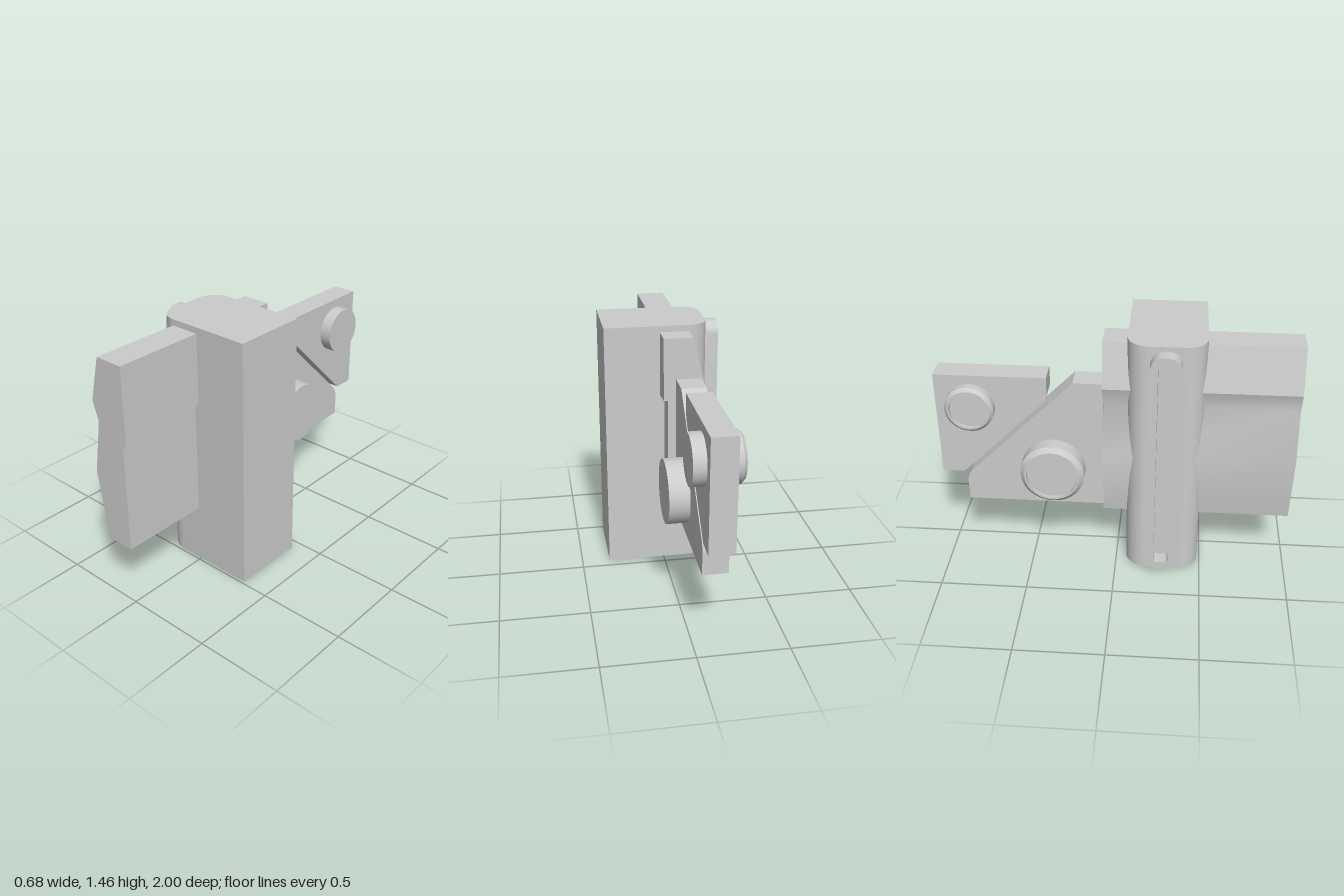
import * as THREE from 'three';
import { toCreasedNormals } from 'three/addons/utils/BufferGeometryUtils.js';

const grey = new THREE.MeshStandardMaterial({ color: 0xcccccc });

function mesh(name, geometry) {
  const m = new THREE.Mesh(toCreasedNormals(geometry, 0.5), grey);
  m.name = name;
  return m;
}

const extrude = (shape, depth) =>
  new THREE.ExtrudeGeometry(shape, { depth, bevelEnabled: false, curveSegments: 12 });

const polygon = (points) => new THREE.Shape(points.map(([a, b]) => new THREE.Vector2(a, b)));

// Shape drawn in (-z, y), extruded from x0 to x1
function sideExtrude(name, shape, x0, x1) {
  return mesh(name, extrude(shape, x1 - x0).rotateY(Math.PI / 2).translate(x0, 0, 0));
}

function roundedRect(path, x0, y0, x1, y1, r) {
  path.moveTo(x0 + r, y0);
  path.lineTo(x1 - r, y0);
  path.absarc(x1 - r, y0 + r, r, -Math.PI / 2, 0);
  path.lineTo(x1, y1 - r);
  path.absarc(x1 - r, y1 - r, r, 0, Math.PI / 2);
  path.lineTo(x0 + r, y1);
  path.absarc(x0 + r, y1 - r, r, Math.PI / 2, Math.PI);
  path.lineTo(x0, y0 + r);
  path.absarc(x0 + r, y0 + r, r, Math.PI, Math.PI * 1.5);
  return path;
}

// Round boss along x, chamfered and dished on its -x end
function boss(name, y, z, r, xMin, xMax, chamfer) {
  const top = -xMin, rim = r - chamfer - 0.012;
  const profile = [
    [0, -xMax], [r, -xMax], [r, top - chamfer], [r - chamfer, top],
    [rim, top], [rim, top - 0.02], [0, top - 0.02],
  ].map(([a, b]) => new THREE.Vector2(a, b));
  const m = mesh(name, new THREE.LatheGeometry(profile, 48).rotateZ(Math.PI / 2));
  m.position.set(0, y, z);
  return m;
}

export function createModel() {
  const model = new THREE.Group();
  model.name = 'hingeAssembly';

  // Upright post, rounded along its two -x edges
  const r = 0.115;
  const post = new THREE.Shape();
  post.moveTo(0.335, -0.485);
  post.lineTo(0.335, -0.06);
  post.lineTo(-0.26 + r, -0.06);
  post.absarc(-0.26 + r, -0.06 - r, r, Math.PI / 2, Math.PI);
  post.lineTo(-0.26, -0.485 + r);
  post.absarc(-0.26 + r, -0.485 + r, r, Math.PI, Math.PI * 1.5);
  model.add(mesh('post', extrude(post, 1.46).rotateX(-Math.PI / 2)));

  // Slotted rail on the post's rounded side
  const rail = roundedRect(new THREE.Shape(), -0.355, 0.05, -0.185, 1.435, 0.075);
  rail.holes.push(roundedRect(new THREE.Path(), -0.312, 0.1, -0.228, 1.385, 0.02));
  model.add(sideExtrude('slottedRail', rail, -0.34, -0.255));

  // Faceted bar running through the post
  const bar = polygon([
    [-0.005, 0.35], [-0.005, 1.425], [-0.145, 1.425], [-0.21, 1.17],
    [-0.175, 1.06], [-0.23, 0.75], [-0.17, 0.35],
  ]);
  model.add(mesh('crossBar', extrude(bar, 1.075).translate(0, 0, -0.075)));

  // Raised upper panel with a sloping lower edge
  const panel = polygon([[-1, 0.975], [0.075, 1.067], [0.075, 1.425], [-1, 1.425]]);
  model.add(sideExtrude('raisedPanel', panel, -0.005, 0.02));

  // Pair of triangular plates separated by a diagonal gap
  const lower = new THREE.Shape();
  lower.moveTo(0.07, 0.4);
  lower.lineTo(0.86, 0.4);
  lower.lineTo(0.86, 0.52);
  lower.quadraticCurveTo(0.86, 0.567, 0.828, 0.6);
  lower.lineTo(0.235, 1.19);
  lower.lineTo(0.07, 1.19);
  model.add(sideExtrude('lowerPlate', lower, -0.19, -0.05));

  const upper = new THREE.Shape();
  upper.moveTo(1, 0.59);
  upper.lineTo(1, 1.215);
  upper.lineTo(0.378, 1.215);
  upper.lineTo(0.378, 1.12);
  upper.quadraticCurveTo(0.378, 1.085, 0.405, 1.057);
  upper.lineTo(0.875, 0.59);
  model.add(sideExtrude('upperPlate', upper, -0.19, -0.05));

  // Bosses through the plates
  model.add(boss('lowerBoss', 0.645, -0.355, 0.181, -0.295, 0.065, 0.025));
  model.add(boss('upperBoss', 1.027, -0.806, 0.137, -0.25, 0.02, 0.018));

  return model;
}
